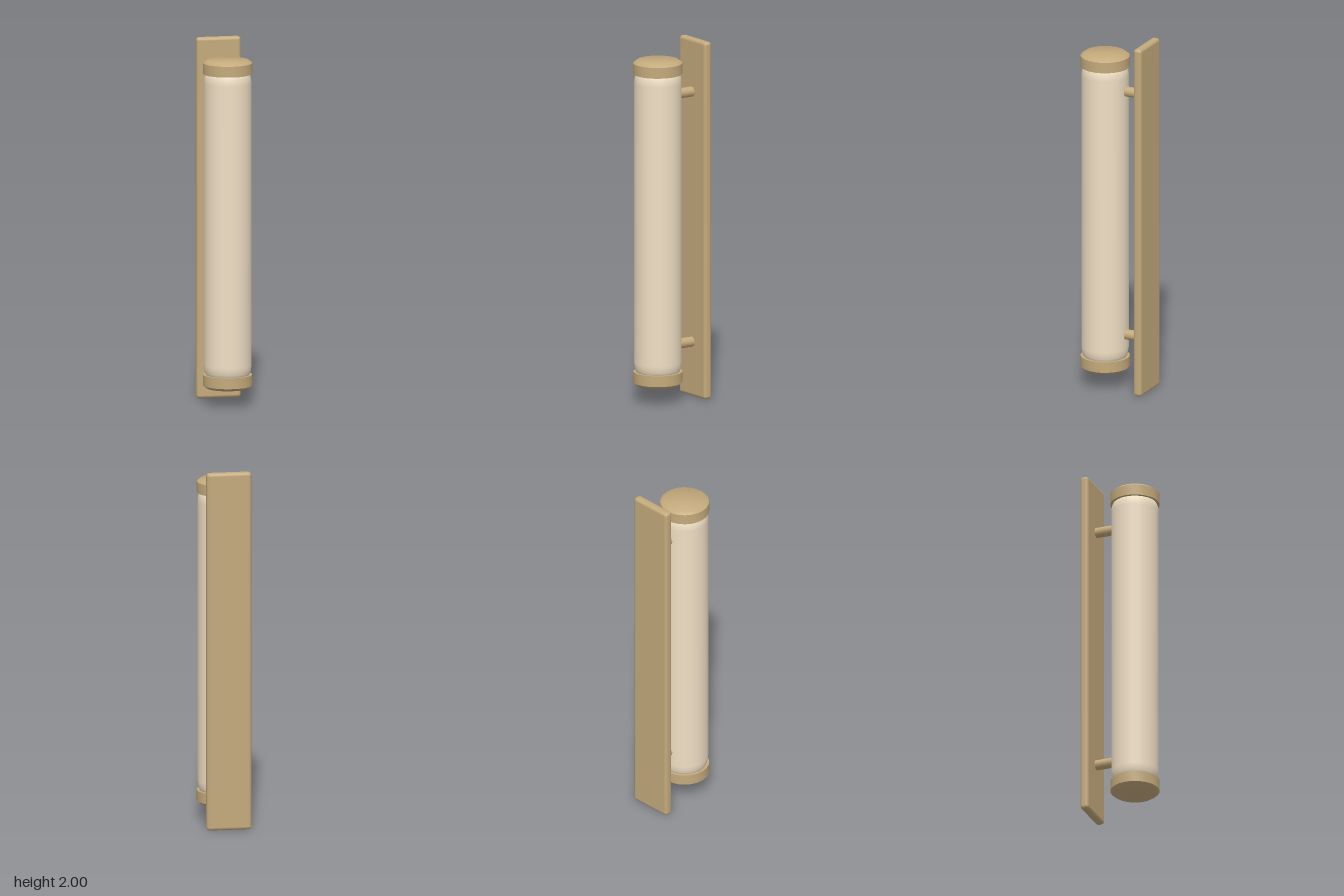
import * as THREE from 'three';
import { toCreasedNormals } from 'three/addons/utils/BufferGeometryUtils.js';
import { RoundedBoxGeometry } from 'three/addons/geometries/RoundedBoxGeometry.js';

const SIDES = 24;
const TUBE_Z = 0.069;

export function createModel() {
  const group = new THREE.Group();
  const brass = new THREE.MeshStandardMaterial({ color: 0xc4aa7c });
  const shade = new THREE.MeshStandardMaterial({ color: 0xf0dfc4 });

  const add = (name, geometry, material, x, y, z) => {
    const mesh = new THREE.Mesh(geometry, material);
    mesh.name = name;
    mesh.position.set(x, y, z);
    group.add(mesh);
    return mesh;
  };
  const lathe = (profile) =>
    new THREE.LatheGeometry(profile.map(([r, y]) => new THREE.Vector2(r, y)), SIDES);

  // Wall plate with softened edges
  add('backPlate', new RoundedBoxGeometry(0.248, 2, 0.049, 2, 0.018), brass, 0, 1, -0.1825);

  // Frosted tube, rounded in at both ends
  const half = [[0.13, 0.78], [0.1285, 0.8], [0.125, 0.82], [0.119, 0.835], [0.11, 0.845], [0, 0.845]];
  const lower = half.map(([r, y]) => [r, -y]).reverse();
  add('tubeShade', lathe([...lower, ...half]), shade, 0, 1.003, TUBE_Z);

  // End caps, bevelled on the outer rim
  const cap = toCreasedNormals(
    lathe([[0, 0], [0.135, 0], [0.135, 0.06], [0.115, 0.075], [0, 0.075]]), 0.8);
  add('topCap', cap, brass, 0, 1.836, TUBE_Z);
  add('bottomCap', cap, brass, 0, 0.17, TUBE_Z).rotation.x = Math.PI;

  // Arms joining the tube to the plate
  const arm = new THREE.CylinderGeometry(0.028, 0.028, 0.15, 16);
  arm.rotateX(Math.PI / 2);
  for (const [name, y] of [['upperArm', 1.706], ['lowerArm', 0.306]]) {
    add(name, arm, brass, 0, y, -0.1);
  }

  return group;
}
